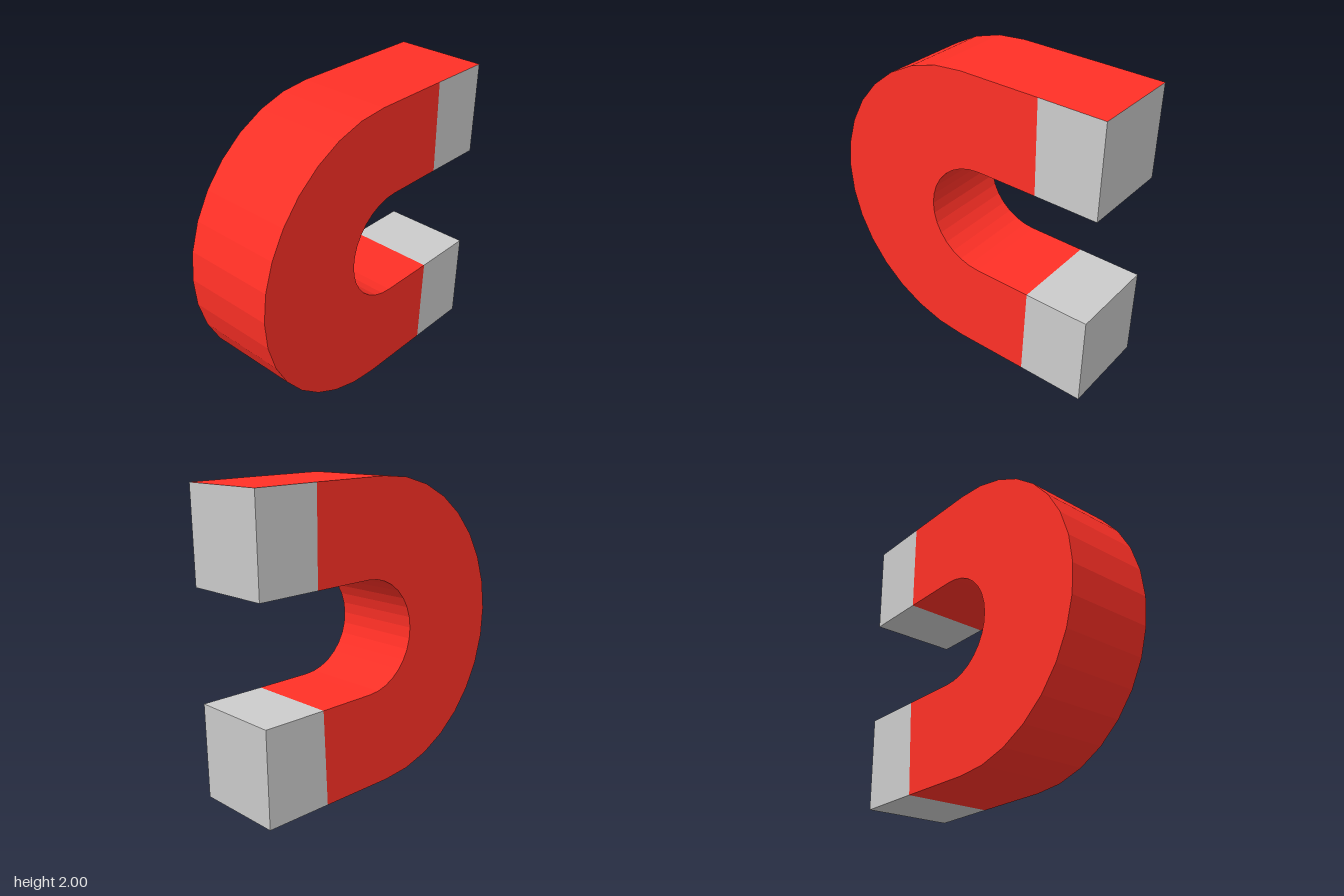
import * as THREE from 'three';

const DEPTH = 0.62;
const red = new THREE.MeshStandardMaterial({ color: 0xff3026, flatShading: true });
const grey = new THREE.MeshStandardMaterial({ color: 0xcccccc, flatShading: true });

// End lines of the two arms: [outer corner, inner corner] at the colour seam and at the tip
const UPPER = { seam: [[0.555, 1.988], [0.555, 1.37]], end: [[0.987, 1.977], [0.975, 1.358]] };
const LOWER = { seam: [[0.492, 0.012], [0.52, 0.634]], end: [[0.942, 0], [0.955, 0.625]] };

// Points of a slightly tilted half circle, from the top round the left to the bottom
function halfCircle(cx, cy, r, segments = 16) {
  const start = THREE.MathUtils.degToRad(88.8);
  return Array.from({ length: segments + 1 }, (_, i) => {
    const a = start + (Math.PI * i) / segments;
    return new THREE.Vector2(cx + r * Math.cos(a), cy + r * Math.sin(a));
  });
}

// Horseshoe: outer arc, lower seam, inner arc back, upper seam
function makeBody() {
  const v = (p) => new THREE.Vector2(p[0], p[1]);
  const shape = new THREE.Shape([
    v(UPPER.seam[0]),
    ...halfCircle(-0.004, 1.012, 0.988),
    ...LOWER.seam.map(v),
    ...halfCircle(0.137, 1.012, 0.368).reverse(),
    v(UPPER.seam[1]),
  ]);
  const geometry = new THREE.ExtrudeGeometry(shape, { depth: DEPTH, bevelEnabled: false });
  geometry.translate(0, 0, -DEPTH / 2);
  const mesh = new THREE.Mesh(geometry, red);
  mesh.name = 'horseshoeBody';
  return mesh;
}

// Pole tip: a box whose corners are moved onto the seam and end lines
function makeTip(name, top, bottom, materials) {
  const geometry = new THREE.BoxGeometry(1, 1, DEPTH);
  const pos = geometry.attributes.position;
  for (let i = 0; i < pos.count; i++) {
    const edge = pos.getY(i) > 0 ? top : bottom;
    const [x, y] = pos.getX(i) > 0 ? edge[1] : edge[0];
    pos.setXY(i, x, y);
  }
  geometry.computeVertexNormals();
  const mesh = new THREE.Mesh(geometry, materials);
  mesh.name = name;
  return mesh;
}

export function createModel() {
  const group = new THREE.Group();
  group.name = 'horseshoeMagnet';
  const edge = (arm, i) => [arm.seam[i], arm.end[i]];
  group.add(
    makeBody(),
    // The upper tip keeps a red top face
    makeTip('upperTip', edge(UPPER, 0), edge(UPPER, 1), [grey, grey, red, grey, grey, grey]),
    makeTip('lowerTip', edge(LOWER, 1), edge(LOWER, 0), grey),
  );
  return group;
}
